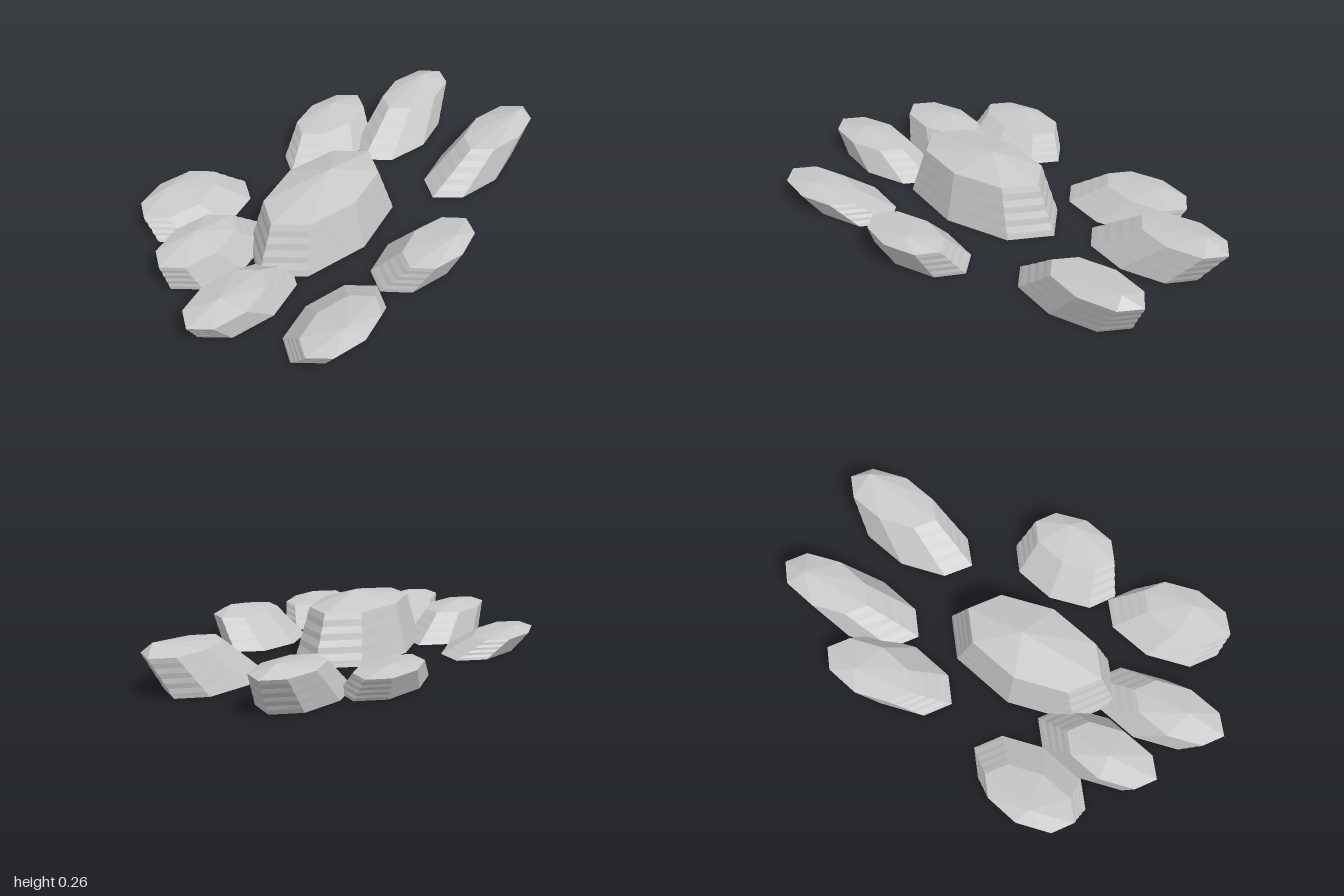
import * as THREE from 'three';

const SIDES = 8;
const LAYERS = 8;
const TAPER = 0.78; // shoulder ring size relative to the base

// One leaning stone: an oval base, ridged ends, a shifted shoulder ring and a low off-centre peak.
// base and ring are [x, z] centres, radii is [x, z] at the base, peak is [x, y, z].
function stoneGeometry(base, radii, ring, height, peak) {
  const points = [];
  for (let l = 0; l <= LAYERS; l++) {
    const t = l / LAYERS;
    const size = THREE.MathUtils.lerp(1, TAPER, t);
    const ridge = l === 0 || l === LAYERS ? 1 : 1 + (l % 2 ? 0.007 : -0.007);
    for (let s = 0; s < SIDES; s++) {
      const a = (s / SIDES) * Math.PI * 2;
      points.push(
        THREE.MathUtils.lerp(base[0], ring[0], t) + Math.cos(a) * radii[0] * size * ridge,
        t * height,
        THREE.MathUtils.lerp(base[1], ring[1], t) + Math.sin(a) * radii[1] * size
      );
    }
  }
  const top = points.length / 3;
  points.push(...peak, base[0], 0, base[1]);

  const faces = [];
  for (let s = 0; s < SIDES; s++) {
    const n = (s + 1) % SIDES;
    for (let l = 0; l < LAYERS; l++) {
      const a = l * SIDES + s, b = l * SIDES + n;
      faces.push(a, a + SIDES, b, b, a + SIDES, b + SIDES);
    }
    const r = LAYERS * SIDES;
    faces.push(r + s, top, r + n); // cap
    faces.push(s, n, top + 1); // underside
  }
  const indexed = new THREE.BufferGeometry();
  indexed.setAttribute('position', new THREE.Float32BufferAttribute(points, 3));
  indexed.setIndex(faces);
  const geometry = indexed.toNonIndexed();
  geometry.computeVertexNormals();
  return geometry;
}

export function createModel() {
  const group = new THREE.Group();
  const stone = new THREE.MeshStandardMaterial({ color: 0xc8c8c8 });
  stone.name = 'light grey stone';

  const small = [0.265, 0.146];
  const stones = [
    { name: 'centreStone', base: [-0.133, 0.01], radii: [0.405, 0.222], ring: [-0.135, 0.01], height: 0.21, peak: [-0.075, 0.265, 0.01] },
    { name: 'frontStone', base: [-0.06, 0.445], radii: [0.25, 0.146], ring: [-0.05, 0.538], height: 0.13, peak: [0.0, 0.16, 0.585] },
    { name: 'frontLeftStone', base: [0.595, 0.265], radii: [0.28, 0.146], ring: [0.74, 0.315], height: 0.165, peak: [0.88, 0.205, 0.35] },
    { name: 'leftStone', base: [0.615, -0.142], radii: small, ring: [0.783, -0.17], height: 0.155, peak: [0.88, 0.19, -0.18] },
    { name: 'backLeftStone', base: [0.335, -0.335], radii: small, ring: [0.432, -0.4], height: 0.1, peak: [0.48, 0.125, -0.43] },
    { name: 'backRightStone', base: [-0.373, -0.455], radii: small, ring: [-0.42, -0.545], height: 0.075, peak: [-0.44, 0.1, -0.595] },
    { name: 'rightBackStone', base: [-0.545, -0.21], radii: small, ring: [-0.632, -0.232], height: 0.12, peak: [-0.62, 0.15, -0.25] },
    { name: 'rightStone', base: [-0.67, 0.06], radii: small, ring: [-0.793, 0.072], height: 0.1, peak: [-0.83, 0.13, 0.08] },
    { name: 'frontRightStone', base: [-0.555, 0.415], radii: small, ring: [-0.623, 0.498], height: 0.085, peak: [-0.64, 0.11, 0.53] },
  ];

  for (const { name, base, radii, ring, height, peak } of stones) {
    const mesh = new THREE.Mesh(stoneGeometry(base, radii, ring, height, peak), stone);
    mesh.name = name;
    group.add(mesh);
  }
  return group;
}
